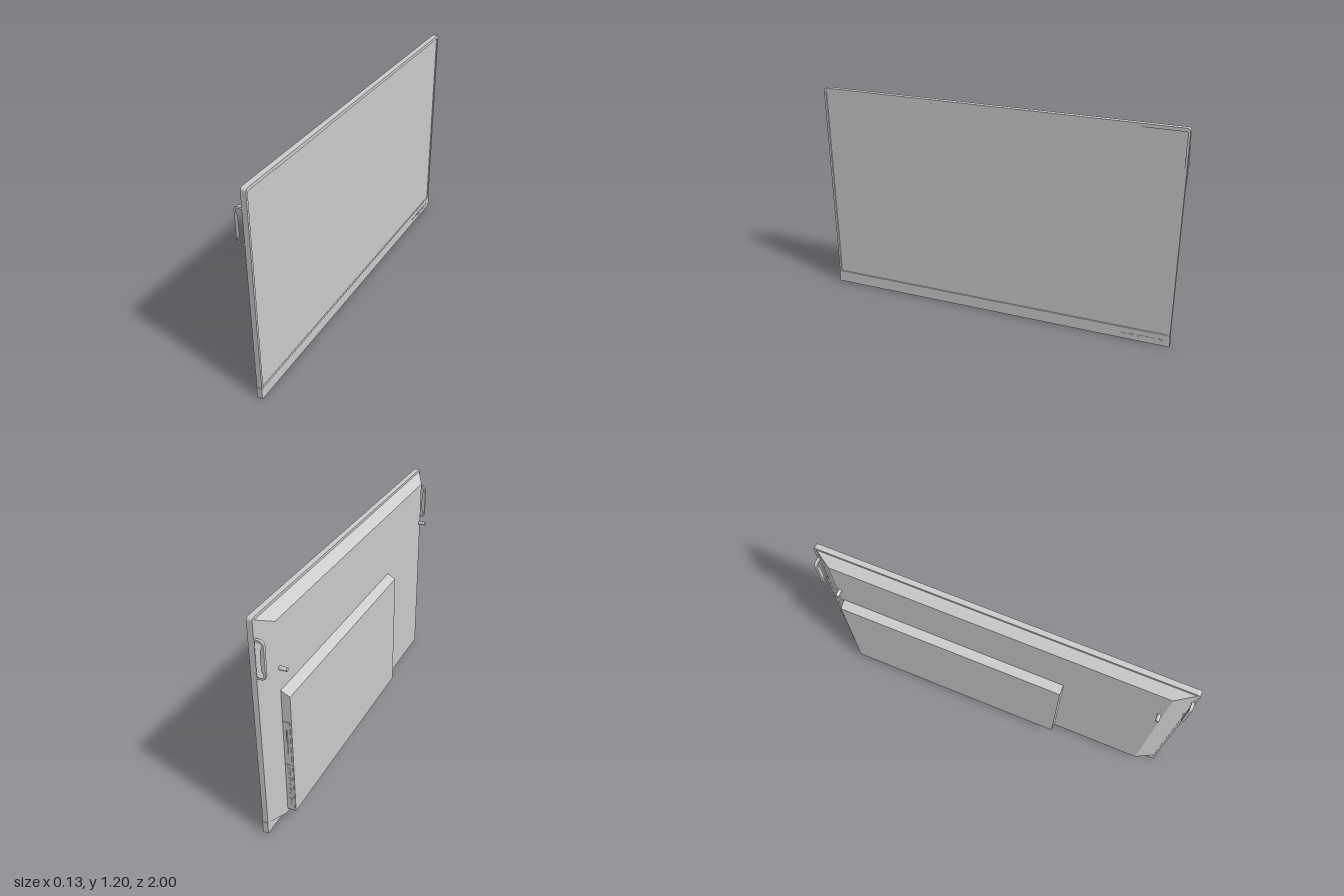
import * as THREE from 'three';

const mat = new THREE.MeshStandardMaterial({ color: 0xcccccc });

function add(parent, name, geo, x = 0, y = 0, z = 0) {
  const m = new THREE.Mesh(geo, mat);
  m.name = name;
  m.position.set(x, y, z);
  parent.add(m);
  return m;
}

// Box given by its limits on each axis
function slab(parent, name, x0, x1, y0, y1, z0, z1) {
  return add(parent, name, new THREE.BoxGeometry(x1 - x0, y1 - y0, z1 - z0),
    (x0 + x1) / 2, (y0 + y1) / 2, (z0 + z1) / 2);
}

// Six-sided block between two rectangles [y0, y1, z0, z1] standing at xa and xb
function taper(parent, name, xa, a, xb, b) {
  const g = new THREE.BoxGeometry(1, 1, 1);
  const p = g.attributes.position;
  for (let i = 0; i < p.count; i++) {
    const back = p.getX(i) < 0;
    const r = back ? a : b;
    p.setXYZ(i, back ? xa : xb, p.getY(i) < 0 ? r[0] : r[1], p.getZ(i) < 0 ? r[2] : r[3]);
  }
  g.computeVertexNormals();
  return add(parent, name, g);
}

// Rounded rectangle outline; rb is the radius of the lower corners
function roundRect(Type, x0, x1, y0, y1, r, rb = r) {
  const s = new Type();
  s.moveTo(x0 + rb, y0);
  s.lineTo(x1 - rb, y0);
  if (rb) s.quadraticCurveTo(x1, y0, x1, y0 + rb);
  s.lineTo(x1, y1 - r);
  s.quadraticCurveTo(x1, y1, x1 - r, y1);
  s.lineTo(x0 + r, y1);
  s.quadraticCurveTo(x0, y1, x0, y1 - r);
  s.lineTo(x0, y0 + rb);
  if (rb) s.quadraticCurveTo(x0, y0, x0 + rb, y0);
  return s;
}

function handleGeometry() {
  // Loop outline with a grip that swells in the middle
  const s = new THREE.Shape();
  s.moveTo(0.032, 0.903);
  s.lineTo(0.008, 0.903);
  s.quadraticCurveTo(-0.015, 0.905, -0.015, 0.93);
  s.lineTo(-0.015, 1.073);
  s.quadraticCurveTo(-0.015, 1.1, 0.008, 1.102);
  s.lineTo(0.032, 1.102);
  s.closePath();
  const h = new THREE.Path();
  h.moveTo(0.03, 0.912);
  h.lineTo(0.012, 0.912);
  h.bezierCurveTo(-0.006, 0.914, -0.012, 0.928, -0.004, 0.94);
  h.quadraticCurveTo(0.003, 0.95, 0.003, 0.965);
  h.lineTo(0.003, 1.04);
  h.quadraticCurveTo(0.003, 1.055, -0.004, 1.065);
  h.bezierCurveTo(-0.012, 1.077, -0.006, 1.092, 0.012, 1.093);
  h.lineTo(0.03, 1.093);
  h.closePath();
  s.holes.push(h);
  const g = new THREE.ExtrudeGeometry(s, {
    depth: 0.012, bevelEnabled: true, bevelThickness: 0.002,
    bevelSize: 0.002, bevelOffset: -0.002, bevelSegments: 2, curveSegments: 8,
  });
  return g.translate(0, 0, -0.006);
}

export function createModel() {
  const model = new THREE.Group();
  model.name = 'displayPanel';

  // Front frame around the recessed screen
  const outline = roundRect(THREE.Shape, -0.998, 0.998, 0.004, 1.203, 0.018, 0);
  outline.holes.push(roundRect(THREE.Path, -0.986, 0.986, 0.068, 1.185, 0.003));
  const frame = new THREE.ExtrudeGeometry(outline, { depth: 0.029, bevelEnabled: false, curveSegments: 8 });
  frame.rotateY(Math.PI / 2);
  add(model, 'frame', frame, 0.03);
  slab(model, 'screen', 0.031, 0.053, 0.06, 1.19, -0.99, 0.99);
  slab(model, 'lowerBar', 0.03, 0.06, 0, 0.066, -1, 1);
  slab(model, 'sensorStrip', 0.05, 0.057, 1.181, 1.186, 0.35, 0.77);

  // Buttons and sockets on the lower bar: [z centre, width, height]
  const controls = new THREE.Group();
  controls.name = 'frontControls';
  model.add(controls);
  [[-0.757, 0.026, 0.005], [-0.793, 0.022, 0.007], [-0.826, 0.016, 0.014], [-0.85, 0.02, 0.014],
    [-0.882, 0.024, 0.014], [-0.915, 0.022, 0.011], [-0.95, 0.018, 0.013]].forEach(([z, w, h]) =>
    slab(controls, 'control', 0.058, 0.0625, 0.031 - h / 2, 0.031 + h / 2, z - w / 2, z + w / 2));

  // Sloped back shell and the electronics housing on it
  taper(model, 'backShell', -0.02, [0.065, 1.15, -0.9, 0.89], 0.031, [0.06, 1.19, -0.985, 0.985]);
  taper(model, 'rearHousing', -0.066, [0.087, 0.765, -0.888, 0.375], -0.019, [0.087, 0.79, -0.888, 0.375]);

  // Module bay and connector panel on the side of the housing
  const ports = new THREE.Group();
  ports.name = 'sidePorts';
  model.add(ports);
  slab(ports, 'moduleBay', -0.058, -0.024, 0.385, 0.62, -0.891, -0.88);
  slab(ports, 'moduleGrip', -0.044, -0.038, 0.43, 0.575, -0.895, -0.88);
  slab(ports, 'connectorPanel', -0.06, -0.022, 0.095, 0.37, -0.89, -0.88);
  for (let i = 0; i < 8; i++) {
    const y = 0.125 + i * 0.031;
    if (i % 4 === 0) {
      const jack = add(ports, 'roundSocket', new THREE.CylinderGeometry(0.006, 0.006, 0.006, 12), -0.041, y, -0.89);
      jack.rotation.x = Math.PI / 2;
    } else slab(ports, 'socket', -0.047, -0.035, y - 0.01, y + 0.01, -0.893, -0.885);
  }

  // Carrying handles and cable pegs on both sides
  for (const [side, hz, pz] of [['right', -0.989, -0.885], ['left', 0.987, 0.872]]) {
    add(model, side + 'Handle', handleGeometry(), 0, 0, hz);
    const peg = add(model, side + 'Peg', new THREE.CylinderGeometry(0.01, 0.01, 0.042, 16), -0.038, 0.908, pz);
    peg.rotation.z = Math.PI / 2;
  }
  return model;
}
